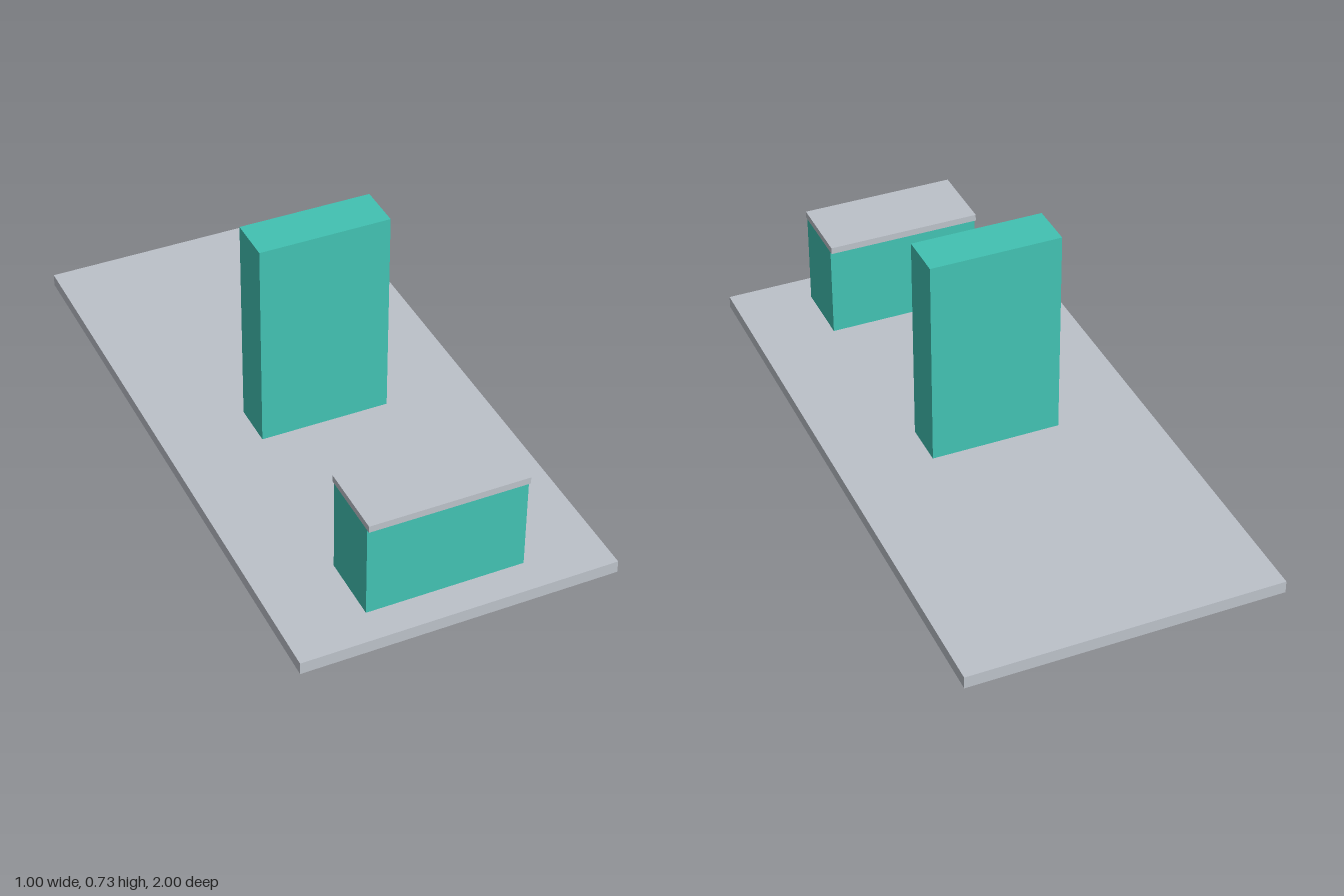
import * as THREE from 'three';

export function createModel() {
  const model = new THREE.Group();
  const grey = new THREE.MeshStandardMaterial({ color: 0xbdc2ca });
  grey.name = 'light grey';
  const teal = new THREE.MeshStandardMaterial({ color: 0x42c2b3 });
  teal.name = 'teal';

  // Box centred on x, given by its width and its y and z ranges
  const block = (name, material, width, y0, y1, z0, z1) => {
    const mesh = new THREE.Mesh(new THREE.BoxGeometry(width, y1 - y0, z1 - z0), material);
    mesh.position.set(0, (y0 + y1) / 2, (z0 + z1) / 2);
    mesh.name = name;
    model.add(mesh);
  };

  // Floor slab
  block('base', grey, 1, 0, 0.04, -1, 1);
  // Tall central block, sunk a little into the slab
  block('tower', teal, 0.42, 0.02, 0.733, -0.073, 0.073);
  // Counter near the front edge with its overhanging top
  block('counter', teal, 0.5, 0.02, 0.347, 0.678, 0.893);
  block('counterTop', grey, 0.5, 0.347, 0.369, 0.667, 0.904);

  return model;
}
